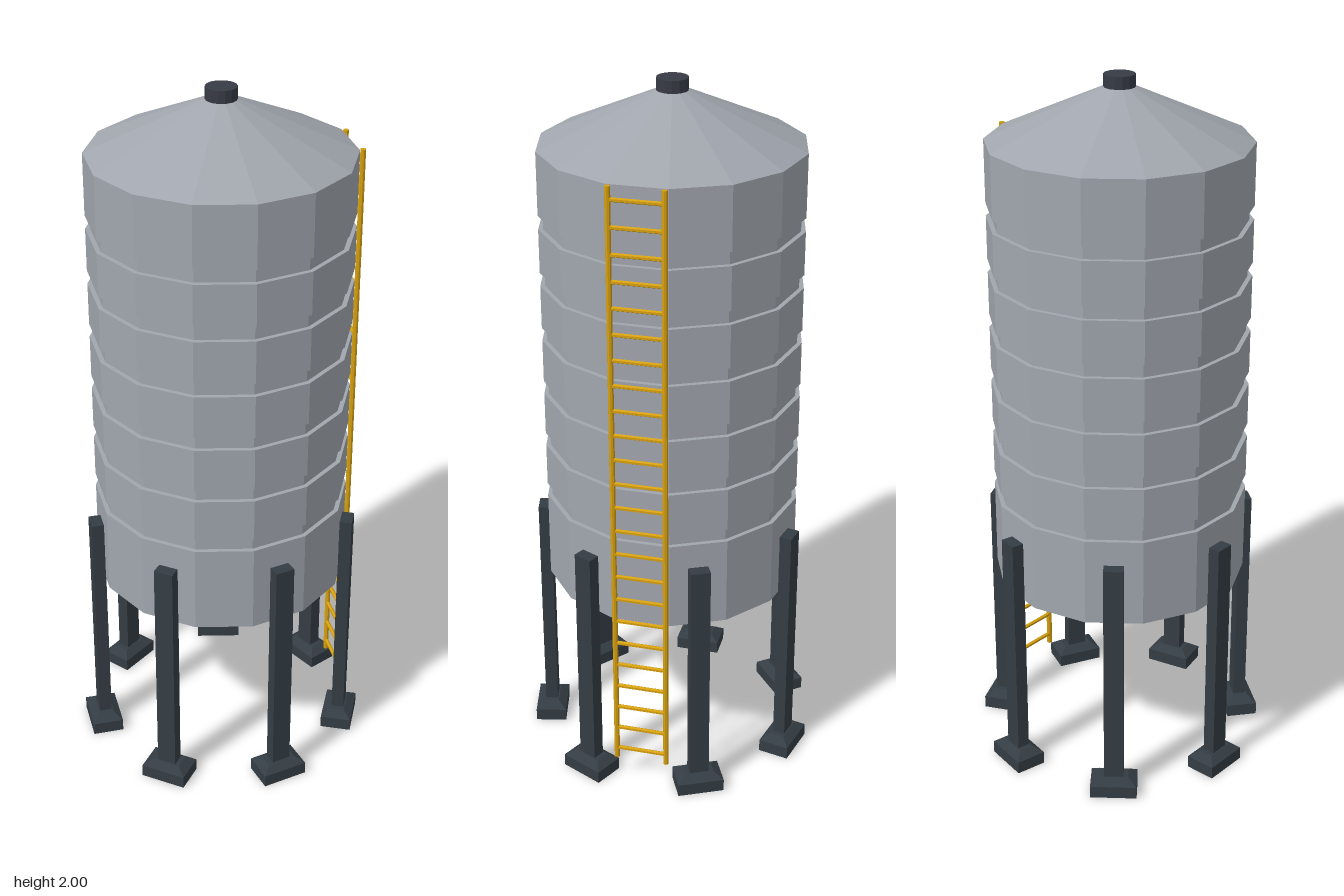
import * as THREE from 'three';

const mat = (name, color) => {
  const m = new THREE.MeshStandardMaterial({ color, flatShading: true });
  m.name = name;
  return m;
};

const SIDES = 14;
const R = 0.363;        // outer shell radius
const R_GROOVE = 0.35;  // radius inside the grooves

export function createModel() {
  const steel = mat('galvanised steel', 0xa1a6ae);
  const darkSteel = mat('dark leg steel', 0x343d44);
  const darkPipe = mat('dark pipe', 0x373b45);
  const yellow = mat('ladder yellow', 0xd6a010);

  const model = new THREE.Group();
  model.name = 'silo';
  const silo = new THREE.Group();
  silo.name = 'siloAssembly';
  silo.position.x = 0.004;
  model.add(silo);

  const add = (parent, name, geometry, material, x = 0, y = 0, z = 0) => {
    const mesh = new THREE.Mesh(geometry, material);
    mesh.name = name;
    mesh.position.set(x, y, z);
    parent.add(mesh);
    return mesh;
  };
  const lathe = (pts) =>
    new THREE.LatheGeometry(pts.map(([r, y]) => new THREE.Vector2(r, y)), SIDES);

  // Shell with six recessed grooves
  const wall = [[R, 0.548]];
  for (let i = 0; i < 6; i++) {
    const y = 0.803 + i * 0.161;
    wall.push([R, y], [R_GROOVE, y], [R_GROOVE, y + 0.038], [R, y + 0.038]);
  }
  wall.push([R, 1.822]);
  add(silo, 'tankWall', lathe(wall), steel);
  add(silo, 'roof', lathe([[R, 1.822], [0.03, 1.972]]), steel);
  add(silo, 'hopperCone', lathe([[0.04, 0.45], [R, 0.548]]), steel);

  // Roof cap and bottom outlet
  add(silo, 'roofCap', new THREE.CylinderGeometry(0.043, 0.043, 0.04, SIDES), darkPipe, 0, 1.98);
  add(silo, 'outlet', new THREE.CylinderGeometry(0.064, 0.064, 0.1, SIDES), darkPipe, 0, 0.418);

  // Foot cap: a box whose top is drawn in to a smaller rectangle
  const footCap = new THREE.BoxGeometry(0.09, 0.018, 0.134);
  const p = footCap.attributes.position;
  for (let i = 0; i < p.count; i++) {
    if (p.getY(i) > 0) {
      p.setX(i, Math.sign(p.getX(i)) * 0.022);
      p.setZ(i, Math.sign(p.getZ(i)) * 0.042);
    }
  }
  const footBase = new THREE.BoxGeometry(0.09, 0.037, 0.134);
  const post = new THREE.BoxGeometry(0.036, 0.69, 0.056);

  // Seven legs, each against the middle of every second wall face
  for (let i = 0; i < 7; i++) {
    const leg = new THREE.Group();
    leg.name = 'leg' + (i + 1);
    leg.rotation.y = Math.PI + (i * Math.PI * 2) / 7;
    add(leg, 'post', post, darkSteel, 0.371, 0.385);
    add(leg, 'footBase', footBase, darkSteel, 0.371, 0.0185);
    add(leg, 'footCap', footCap, darkSteel, 0.371, 0.046);
    silo.add(leg);
  }

  // Ladder on the left side
  const ladder = new THREE.Group();
  ladder.name = 'ladder';
  ladder.position.x = 0.365;
  silo.add(ladder);
  const rail = new THREE.CylinderGeometry(0.008, 0.008, 1.742, 8);
  for (const s of [-1, 1]) add(ladder, 'rail', rail, yellow, 0, 0.951, s * 0.073);
  const rung = new THREE.CylinderGeometry(0.0062, 0.0062, 0.146, 6).rotateX(Math.PI / 2);
  for (let i = 0; i < 24; i++) add(ladder, 'rung', rung, yellow, 0, 0.112 + i * 0.0728);

  return model;
}
